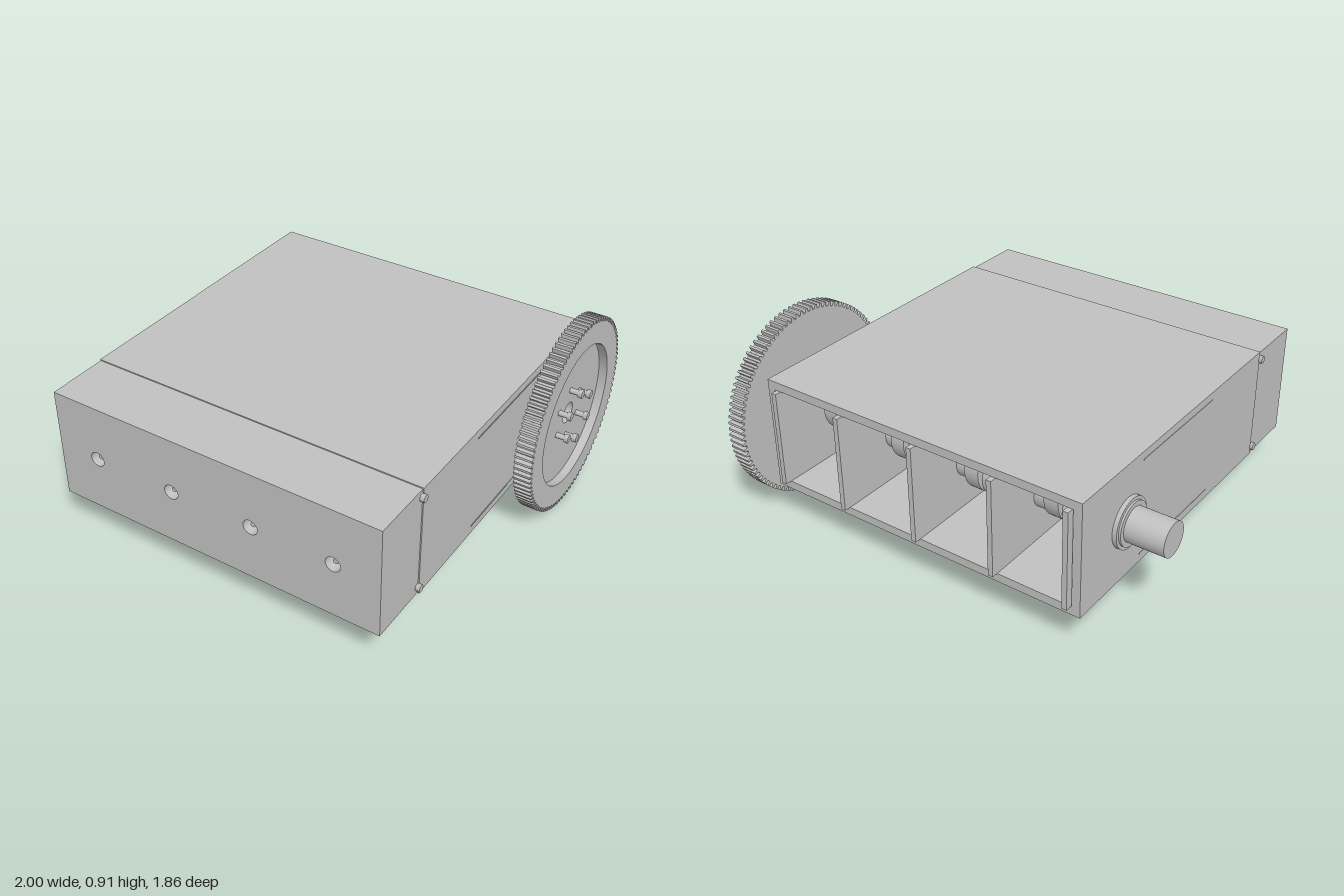
import * as THREE from 'three';

const AXIS_Y = 0.4575, AXIS_Z = -0.4775;
const BAYS = [-0.58, -0.18, 0.22, 0.61];

export function createModel() {
  const model = new THREE.Group();
  model.name = 'engineBlock';
  const metal = new THREE.MeshStandardMaterial({ color: 0xc0c0c0 });
  metal.name = 'bareMetal';

  const add = (name, geometry, x = 0, y = 0, z = 0) => {
    const mesh = new THREE.Mesh(geometry, metal);
    mesh.name = name;
    mesh.position.set(x, y, z);
    model.add(mesh);
    return mesh;
  };
  // Box given by its two opposite corners
  const box = (name, x0, x1, y0, y1, z0, z1) =>
    add(name, new THREE.BoxGeometry(x1 - x0, y1 - y0, z1 - z0), (x0 + x1) / 2, (y0 + y1) / 2, (z0 + z1) / 2);
  // Cylinder lying along x
  const rodX = (name, x0, x1, r, y = AXIS_Y, z = AXIS_Z, sides = 48) =>
    add(name, new THREE.CylinderGeometry(r, r, x1 - x0, sides).rotateZ(-Math.PI / 2), (x0 + x1) / 2, y, z);
  // Cylinder lying along z
  const rodZ = (name, z0, z1, r, x, y = AXIS_Y) =>
    add(name, new THREE.CylinderGeometry(r, r, z1 - z0, 32).rotateX(Math.PI / 2), x, y, (z0 + z1) / 2);
  const circle = (r, x = 0, y = 0) => new THREE.Path().absarc(x, y, r, 0, Math.PI * 2, true);
  const extrude = (shape, depth, curveSegments = 24) =>
    new THREE.ExtrudeGeometry(shape, { depth, bevelEnabled: false, curveSegments });
  // Plate in the xy plane with round holes at the bay centres
  const boredPlate = (name, x0, x1, y0, y1, z0, z1, r) => {
    const shape = new THREE.Shape([[x0, y0], [x1, y0], [x1, y1], [x0, y1]].map(p => new THREE.Vector2(...p)));
    BAYS.forEach(x => shape.holes.push(circle(r, x, AXIS_Y)));
    return add(name, extrude(shape, z1 - z0), 0, 0, z0);
  };

  // Crankcase walls, open at the back
  box('caseTop', -0.79, 0.83, 0.69, 0.73, -0.81, 0.64);
  box('caseBottom', -0.79, 0.83, 0.19, 0.23, -0.81, 0.64);
  box('caseRightWall', -0.79, -0.75, 0.23, 0.69, -0.81, 0.64);
  box('caseLeftWall', 0.79, 0.83, 0.23, 0.69, -0.81, 0.64);
  boredPlate('cylinderDeck', -0.75, 0.79, 0.23, 0.69, 0.2, 0.64, 0.17);

  // Bearing webs between the bays, standing slightly proud at the back
  [-0.735, -0.38, 0.02, 0.415, 0.77].forEach(x =>
    box('bearingWeb', x - 0.012, x + 0.012, 0.23, 0.69, -0.84, 0.2));

  // Cylinder head with plug wells
  boredPlate('cylinderHead', -0.787, 0.825, 0.195, 0.725, 0.64, 0.93, 0.035);
  BAYS.forEach(x => {
    rodZ('plugBody', 0.64, 0.84, 0.034, x);
    rodZ('plugCollar', 0.84, 0.87, 0.024, x);
    rodZ('plugTip', 0.87, 0.91, 0.012, x);
  });

  // Side seams and small head bolts
  [[-0.79, -1], [0.83, 1]].forEach(([x, s]) => {
    [0.23, 0.69].forEach(y => {
      box('sideSeam', x - 0.002, x + 0.002, y - 0.003, y + 0.003, -0.37, 0.2);
      rodX('headBolt', x - 0.015, x + 0.015, 0.018, y, 0.647, 6);
    });
    // Bearing rings around the shaft
    rodX('outerBearing', Math.min(x, x + s * 0.02), Math.max(x, x + s * 0.02), 0.115);
    rodX('innerBearing', Math.min(x, x + s * 0.03), Math.max(x, x + s * 0.03), 0.1);
  });

  // Crankshaft, rods and pistons
  rodX('crankshaft', -1, 0.86, 0.078);
  BAYS.forEach((x, i) => {
    const s = i === 0 || i === 3 ? 1 : 0.7;
    rodX('upperCrankWeb', x + 0.03, x + 0.1, 0.135, AXIS_Y + 0.06 * s);
    rodX('rodBigEnd', x - 0.03, x + 0.03, 0.105);
    rodX('lowerCrankWeb', x - 0.1, x - 0.03, 0.135, AXIS_Y - 0.06 * s);
    box('connectingRod', x - 0.025, x + 0.025, AXIS_Y - 0.05, AXIS_Y + 0.05, AXIS_Z + 0.06, 0.26);
    rodZ('piston', 0.24, 0.5, 0.165, x);
  });

  // Flywheel: flange, toothed rim, recessed disc
  rodX('flywheelFlange', 0.86, 0.9, 0.182);
  const TEETH = 96, points = [];
  for (let i = 0; i < TEETH; i++) {
    [[0, 0.438], [0.25, 0.438], [0.4, 0.4575], [0.75, 0.4575], [0.9, 0.438]].forEach(([f, r]) => {
      const a = (i + f - 0.575) / TEETH * Math.PI * 2;
      points.push(new THREE.Vector2(r * Math.cos(a), r * Math.sin(a)));
    });
  }
  const rim = new THREE.Shape(points);
  rim.holes.push(circle(0.335));
  add('toothedRim', extrude(rim, 0.08, 48).rotateY(Math.PI / 2), 0.9, AXIS_Y, AXIS_Z);
  const disc = new THREE.Shape().absarc(0, 0, 0.336, 0, Math.PI * 2, false);
  disc.holes.push(circle(0.05));
  add('flywheelDisc', extrude(disc, 0.04, 48).rotateY(Math.PI / 2), 0.9, AXIS_Y, AXIS_Z);

  // Six flywheel bolts
  for (let i = 0; i < 6; i++) {
    const a = Math.PI / 2 + i * Math.PI / 3;
    const y = AXIS_Y + 0.12 * Math.sin(a), z = AXIS_Z + 0.12 * Math.cos(a);
    rodX('boltShank', 0.94, 0.985, 0.013, y, z, 12);
    rodX('boltHead', 0.98, 1, 0.02, y, z, 6);
  }
  return model;
}
